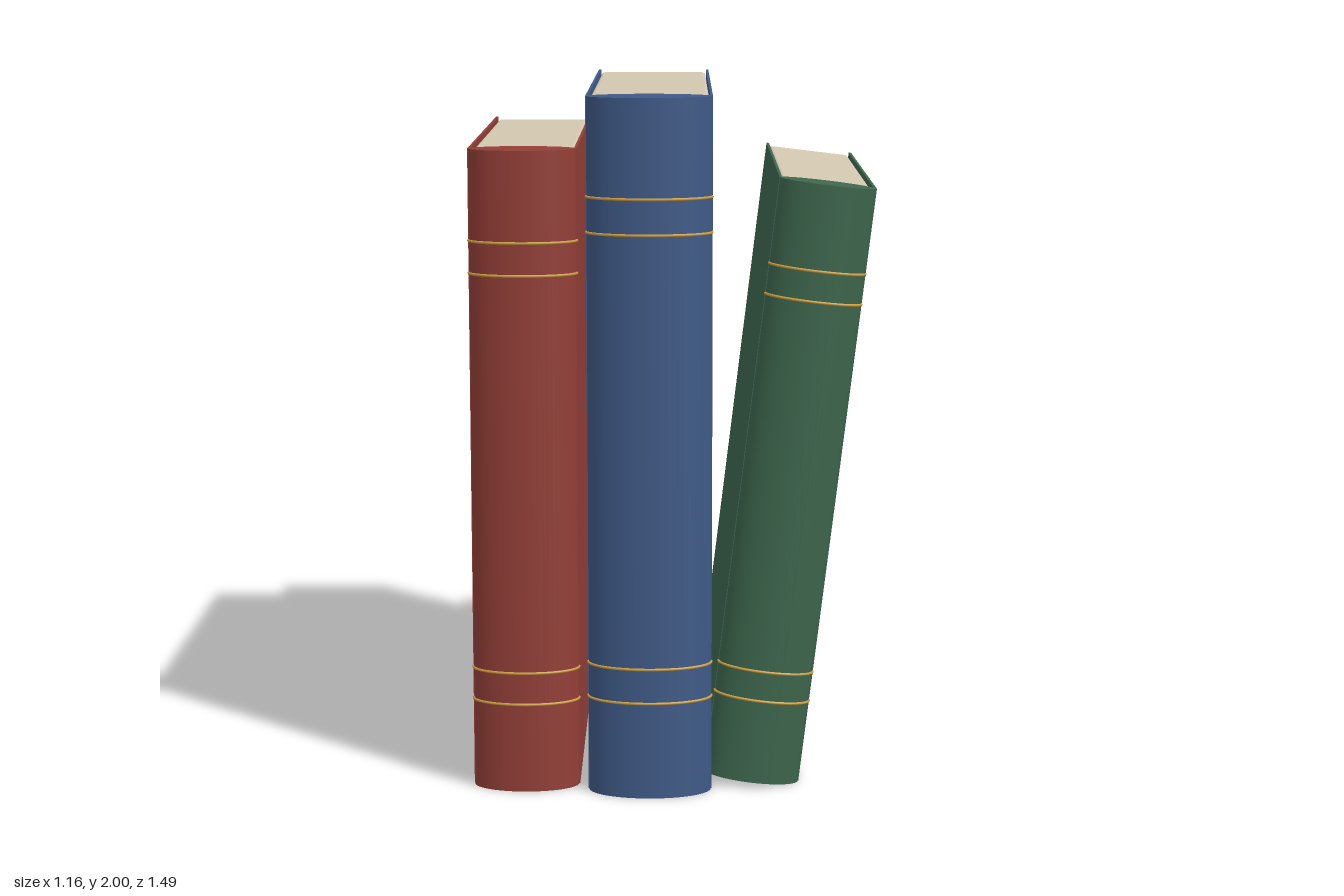
import * as THREE from 'three';
import { RoundedBoxGeometry } from 'three/addons/geometries/RoundedBoxGeometry.js';

function material(name, color) {
  const m = new THREE.MeshStandardMaterial({ color });
  m.name = name;
  return m;
}

function addMesh(parent, name, geometry, mat, x = 0, y = 0, z = 0) {
  const mesh = new THREE.Mesh(geometry, mat);
  mesh.name = name;
  mesh.position.set(x, y, z);
  parent.add(mesh);
  return mesh;
}

// One upright hardback, centred on x, standing on y = 0
function makeBook({ name, width, height, back, spineZ, spineDepth, cover, pages, gold }) {
  const book = new THREE.Group();
  book.name = name;
  const board = 0.008, inset = 0.008;
  const length = spineZ - back;
  const midZ = (spineZ + back) / 2;
  const rx = width / 2 - 0.002;

  // Thin cover boards on both sides
  for (const side of [-1, 1]) {
    addMesh(book, side > 0 ? 'leftBoard' : 'rightBoard',
      new THREE.BoxGeometry(board, height, length), cover,
      side * (width - board) / 2, height / 2, midZ);
  }

  // Page block, slightly inset from the boards
  addMesh(book, 'pages',
    new RoundedBoxGeometry(width - 2 * board - 0.002, height - 2 * inset, length - 0.005, 3, 0.012),
    pages, 0, height / 2, midZ + 0.0025);

  // Rounded spine with an oval section
  const spine = new THREE.CylinderGeometry(1, 1, height, 64);
  spine.scale(rx, 1, spineDepth);
  addMesh(book, 'spine', spine, cover, 0, height / 2, spineZ);

  // Gilt bands round the front half of the spine
  const points = [];
  for (let i = 0; i <= 24; i++) {
    const a = (i / 24) * Math.PI;
    points.push(new THREE.Vector3(Math.cos(a) * (rx + 0.001), 0, Math.sin(a) * (spineDepth + 0.001)));
  }
  const band = new THREE.TubeGeometry(new THREE.CatmullRomCurve3(points), 48, 0.004, 8, false);
  for (const f of [0.14, 0.19, 0.81, 0.86]) {
    addMesh(book, 'spineBand', band, gold, 0, height * f, spineZ);
  }
  return book;
}

export function createModel() {
  const model = new THREE.Group();
  model.name = 'bookRow';
  const red = material('red cloth', 0x933e37);
  const blue = material('blue cloth', 0x3f5a87);
  const green = material('green cloth', 0x3d674d);
  const pages = material('paper', 0xd2c7b0);
  const gold = material('gold', 0xc99a3c);

  const redBook = makeBook({ name: 'redBook', width: 0.308, height: 1.85, back: -0.69,
    spineZ: 0.59, spineDepth: 0.085, cover: red, pages, gold });
  redBook.position.x = -0.425;

  const blueBook = makeBook({ name: 'blueBook', width: 0.356, height: 2, back: -0.74,
    spineZ: 0.64, spineDepth: 0.1, cover: blue, pages, gold });
  blueBook.position.x = -0.067;

  // Leaning book
  const greenBook = makeBook({ name: 'greenBook', width: 0.277, height: 1.747, back: -0.668,
    spineZ: 0.565, spineDepth: 0.077, cover: green, pages, gold });
  greenBook.rotation.z = -0.12;
  greenBook.position.set(0.2285, 0.0166, 0);

  model.add(redBook, blueBook, greenBook);
  return model;
}
